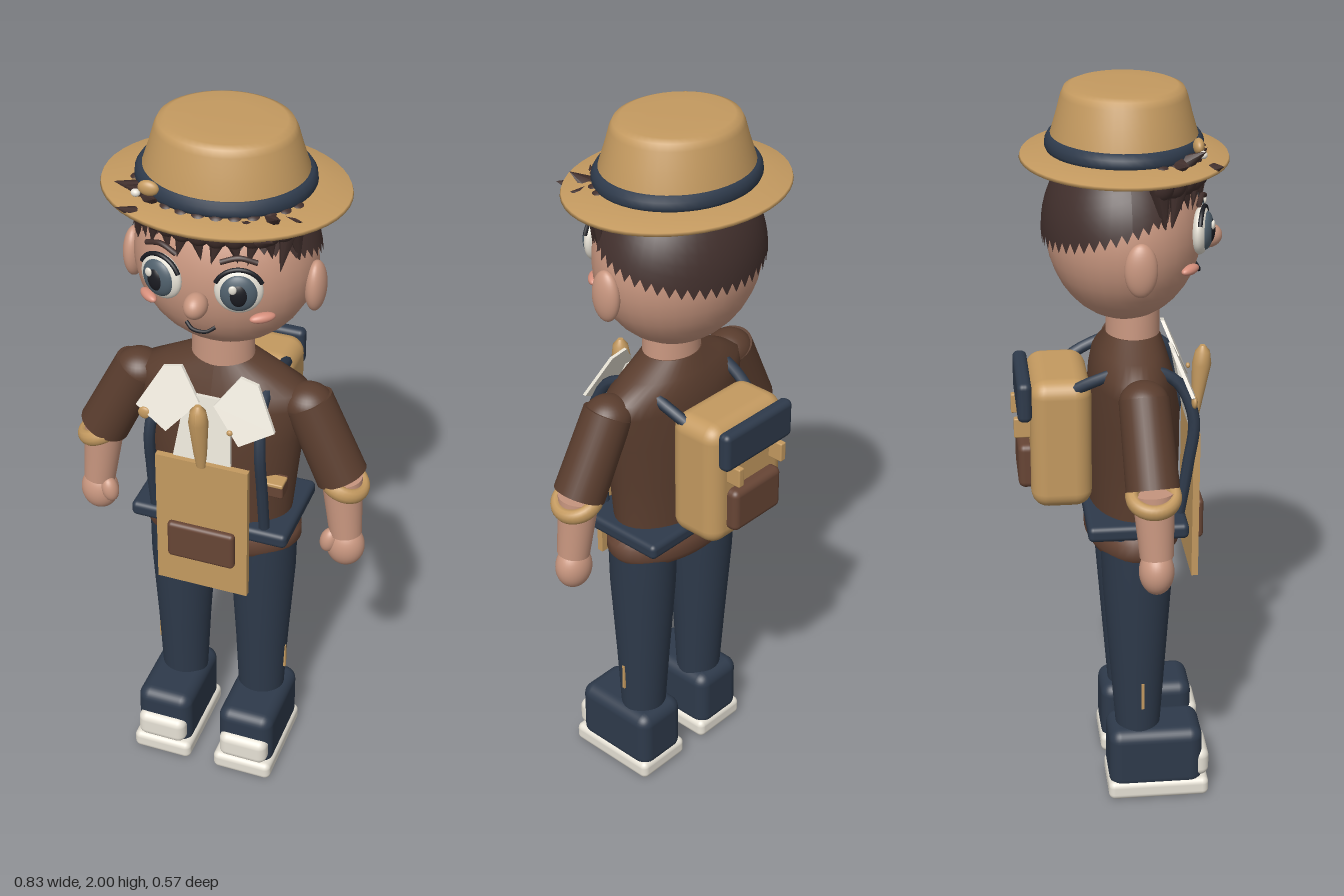
import * as THREE from 'three';
import { RoundedBoxGeometry } from 'three/addons/geometries/RoundedBoxGeometry.js';

const flat = (name, color, side = THREE.FrontSide) => {
  const m = new THREE.MeshStandardMaterial({ color, side });
  m.name = name;
  return m;
};

export function createModel() {
  const root = new THREE.Group();
  root.name = 'traveller';
  const skin = flat('skin', 0xc99780), blush = flat('blush', 0xd68f7c), tan = flat('tan', 0xc49a60);
  const shirt = flat('shirtBrown', 0x5a3d2e), leather = flat('leather', 0x674535);
  const navy = flat('navy', 0x2e3a4b), cream = flat('cream', 0xe6e1d5, THREE.DoubleSide);
  const hair = flat('hairBrown', 0x42302d, THREE.DoubleSide);
  const iris = flat('slateIris', 0x50606c), dark = flat('darkPupil', 0x1b1c22);

  const add = (name, geo, mat, pos = [0, 0, 0], rot = [0, 0, 0], scale = [1, 1, 1], parent = root) => {
    const m = new THREE.Mesh(geo, mat);
    m.name = name;
    m.position.set(...pos);
    m.rotation.set(...rot);
    m.scale.set(...scale);
    parent.add(m);
    return m;
  };
  const ball = (name, mat, pos, radii, rot, parent) =>
    add(name, new THREE.SphereGeometry(1, 32, 20), mat, pos, rot, radii, parent);
  // box given by its extents
  const box = (name, mat, [x0, x1], [y0, y1], [z0, z1], r) => {
    const s = [x1 - x0, y1 - y0, z1 - z0];
    const geo = r ? new RoundedBoxGeometry(...s, 4, r) : new THREE.BoxGeometry(...s);
    return add(name, geo, mat, [(x0 + x1) / 2, (y0 + y1) / 2, (z0 + z1) / 2]);
  };
  // stack of ellipses, each [y, radiusX, radiusZ, centreZ], listed upward
  const loft = (name, mat, rings, x = 0) => {
    const n = rings.length - 1;
    const geo = new THREE.CylinderGeometry(1, 1, n, 40, n);
    const p = geo.attributes.position;
    for (let i = 0; i < p.count; i++) {
      const [y, rx, rz, cz] = rings[Math.round(p.getY(i) + n / 2)];
      p.setXYZ(i, p.getX(i) * rx + x, y, p.getZ(i) * rz + cz);
    }
    geo.computeVertexNormals();
    return add(name, geo, mat);
  };
  // tapered round limb between two points
  const limb = (name, mat, a, b, ra, rb) => {
    const A = new THREE.Vector3(...a), B = new THREE.Vector3(...b), d = B.clone().sub(A);
    const m = add(name, new THREE.CylinderGeometry(rb, ra, d.length(), 28), mat);
    m.position.copy(A).lerp(B, 0.5);
    m.quaternion.setFromUnitVectors(new THREE.Vector3(0, 1, 0), d.normalize());
    return m;
  };
  const tube = (name, mat, pts, r, parent) => add(name, new THREE.TubeGeometry(
    new THREE.CatmullRomCurve3(pts.map(p => new THREE.Vector3(...p))), 32, r, 8), mat, undefined, undefined, undefined, parent);
  const lathe = (name, mat, pts, sz) => add(name,
    new THREE.LatheGeometry(pts.map(p => new THREE.Vector2(...p)), 48), mat, [0, 0, 0.017], undefined, [1, 1, sz]);
  // flat cloth piece that leans forward as it goes down
  const cloth = (name, mat, pts, z, slope) => {
    const geo = new THREE.ExtrudeGeometry(new THREE.Shape(pts.map(p => new THREE.Vector2(...p))), { depth: 0.01, bevelEnabled: false });
    const p = geo.attributes.position;
    for (let i = 0; i < p.count; i++) p.setZ(i, p.getZ(i) + z + (1.335 - p.getY(i)) * slope);
    geo.computeVertexNormals();
    return add(name, geo, mat);
  };

  // head and neck
  ball('head', skin, [0, 1.63, 0.016], [0.237, 0.24, 0.202]);
  loft('neck', skin, [[1.3, 0.085, 0.072, 0.04], [1.44, 0.08, 0.07, 0.04]]);
  ball('nose', skin, [0, 1.598, 0.235], [0.03, 0.033, 0.038]);
  tube('mouth', dark, [[-0.038, 1.522, 0.2], [-0.018, 1.511, 0.211], [0.018, 1.511, 0.211], [0.038, 1.522, 0.2]], 0.005);

  // hair shell with a sloping lower edge
  const shell = new THREE.SphereGeometry(1, 48, 14);
  const sp = shell.attributes.position, uv = shell.attributes.uv;
  for (let i = 0; i < sp.count; i++) {
    const a = uv.getX(i) * Math.PI * 2, c = Math.sin(a);
    const edge = 0.035 + 0.07 * c + 0.02 * Math.max(0, c) ** 2;
    const t = (1 - uv.getY(i)) * Math.acos(edge / 0.248);
    sp.setXYZ(i, -Math.cos(a) * Math.sin(t) * 0.246, Math.cos(t) * 0.248, c * Math.sin(t) * 0.211);
  }
  shell.computeVertexNormals();
  add('hairCap', shell, hair, [0, 1.63, 0.014]);

  // fringe locks around the forehead
  for (let i = -6; i <= 6; i++) {
    const a = i * 0.2, side = Math.abs(i) > 4;
    const len = side ? 0.13 : 0.1 + 0.015 * (Math.abs(i) % 2);
    add('fringeLock', new THREE.ConeGeometry(0.033, len, 7), hair,
      [Math.sin(a) * 0.225, side ? 1.735 : 1.765, 0.02 + Math.cos(a) * 0.195],
      [Math.PI, -a, i % 2 ? 0.22 : -0.15], [1, 1, 0.6]);
    ball('fringeRoot', hair, [Math.sin(a) * 0.222, 1.8, 0.02 + Math.cos(a) * 0.19], [0.035, 0.045, 0.028], [0, a, 0]);
  }

  // hat
  lathe('hatBrim', tan, [[0, 1.822], [0.21, 1.822], [0.3, 1.812], [0.315, 1.816], [0.312, 1.824], [0.22, 1.842], [0, 1.845]], 0.845);
  lathe('hatCrown', tan, [[0.215, 1.83], [0.21, 1.87], [0.19, 1.93], [0.177, 1.975], [0.168, 1.992], [0.15, 1.999], [0.08, 2], [0, 2]], 0.9);
  lathe('hatBand', navy, [[0.2, 1.837], [0.222, 1.837], [0.227, 1.848], [0.225, 1.864], [0.216, 1.877], [0.2, 1.877]], 0.89);

  for (const s of [-1, 1]) {
    // face
    ball('ear', skin, [s * 0.242, 1.59, 0.035], [0.027, 0.07, 0.042]);
    ball('cheek', blush, [s * 0.15, 1.557, 0.17], [0.034, 0.013, 0.015], [0, s * 0.7, 0]);
    const eye = new THREE.Group();
    eye.name = 'eye';
    eye.position.set(s * 0.1, 1.645, 0.203);
    eye.rotation.y = s * 0.3;
    root.add(eye);
    ball('eyeWhite', cream, [0, 0, 0], [0.06, 0.062, 0.024], undefined, eye);
    ball('iris', iris, [0, 0, 0.01], [0.047, 0.051, 0.022], undefined, eye);
    ball('pupil', dark, [0, 0, 0.02], [0.026, 0.034, 0.016], undefined, eye);
    ball('eyeGlint', cream, [-0.014, 0.02, 0.033], [0.01, 0.012, 0.005], undefined, eye);
    add('upperLash', new THREE.TorusGeometry(0.061, 0.006, 8, 24, 2.3), dark, [0, 0, 0.006], [0, 0, 0.42], undefined, eye);
    tube('eyebrow', hair, [[-0.045, 0.078, 0], [0, 0.09, 0], [0.045, 0.078, 0]], 0.007, eye);

    // loose locks over the hat brim
    [[0.17, 1.835, 0.165, 0.06, 0.5], [0.21, 1.83, 0.14, 0.04, 1.1], [0.125, 1.83, 0.19, 0.04, -0.5], [0.18, 1.815, 0.23, 0.03, 0.9]]
      .forEach(([x, y, z, r, t]) => add('brimLock', new THREE.ConeGeometry(r * 0.75, r * 1.7, 6), hair,
        [s * x, y + (s < 0 ? 0.012 : -0.005), z], [0.9, 0, -s * t], [1, 1, 0.7]));

    // arm
    limb('sleeve', shirt, [s * 0.235, 1.245, 0.045], [s * 0.337, 1.035, 0.057], 0.066, 0.07);
    ball('shoulder', shirt, [s * 0.235, 1.235, 0.045], [0.068, 0.055, 0.064]);
    add('cuff', new THREE.TorusGeometry(0.055, 0.018, 12, 32), tan, [s * 0.344, 1.02, 0.058], [Math.PI / 2, -s * 0.42, 0], [1, 1, 1.3]);
    limb('forearm', skin, [s * 0.338, 1.03, 0.058], [s * 0.357, 0.855, 0.066], 0.055, 0.044);
    ball('hand', skin, [s * 0.358, 0.812, 0.066], [0.053, 0.063, 0.046]);
    ball('thumb', skin, [s * 0.318, 0.832, 0.088], [0.024, 0.038, 0.024], [0, 0, -s * 0.2]);

    // leg and shoe
    loft('trouserLeg', navy, [[0.15, 0.064, 0.058, 0.046], [0.4, 0.075, 0.076, 0.044], [0.65, 0.09, 0.094, 0.042], [0.82, 0.092, 0.1, 0.04]], s * 0.118);
    box('legTag', tan, [s * 0.19 - 0.004, s * 0.19 + 0.004], [0.29, 0.37], [0.048, 0.056]);
    const at = (a, b) => (s > 0 ? [a, b] : [-b, -a]);
    box('shoe', navy, at(0.043, 0.205), [0.03, 0.215], [-0.04, 0.222], 0.035);
    box('toeCap', cream, at(0.053, 0.197), [0.055, 0.14], [0.15, 0.242], 0.025);
    box('sole', cream, at(0.036, 0.21), [0, 0.056], [-0.043, 0.24], 0.018);

    // collar flap and pack strap
    const flap = [[0.08, 1.335], [0.13, 1.325], [0.19, 1.22], [0.1, 1.17], [0.02, 1.255]];
    cloth('collarFlap', cream, flap.map(([x, y]) => [s * x, y]), 0.125, 0.42);
    tube('packStrap', navy, [[0.155, 0.88, 0.15], [0.155, 1.02, 0.172], [0.152, 1.15, 0.185], [0.14, 1.25, 0.14], [0.135, 1.285, 0.04],
      [0.13, 1.255, -0.07], [0.11, 1.205, -0.16]].map(([x, y, z]) => [s * x, y, z]), 0.016);
    box('packBuckle', tan, [s * 0.083 - 0.01, s * 0.083 + 0.01], [1.085, 1.14], [-0.282, -0.235], 0.004);
  }

  // shirt, hem and belt
  loft('shirt', shirt, [[0.76, 0.2, 0.12, 0.04], [0.87, 0.195, 0.12, 0.04], [1.0, 0.208, 0.125, 0.04], [1.13, 0.222, 0.125, 0.04],
    [1.23, 0.24, 0.112, 0.035], [1.27, 0.232, 0.102, 0.033], [1.305, 0.16, 0.09, 0.034], [1.345, 0.085, 0.072, 0.038]]);
  loft('shirtHem', leather, [[0.752, 0.205, 0.12, 0.04], [0.775, 0.222, 0.132, 0.04], [0.81, 0.222, 0.132, 0.04], [0.835, 0.2, 0.12, 0.04]]);
  box('belt', navy, [-0.222, 0.222], [0.828, 0.872], [-0.098, 0.17], 0.015);
  cloth('shirtFront', cream, [[-0.085, 1.09], [0.075, 1.09], [0.06, 1.27], [-0.06, 1.27]], 0.135, 0.2);
  box('chestPocket', leather, [0.148, 0.205], [0.985, 1.03], [0.1, 0.152], 0.006);
  box('pocketTrim', tan, [0.148, 0.205], [1.02, 1.032], [0.11, 0.155], 0.004);

  // neckerchief tail, pin and buttons
  loft('tie', tan, [[1.085, 0.012, 0.008, 0.212], [1.13, 0.018, 0.014, 0.215], [1.24, 0.026, 0.026, 0.226], [1.275, 0.021, 0.02, 0.228], [1.292, 0.008, 0.007, 0.228]]);
  ball('collarPin', tan, [-0.165, 1.2, 0.185], [0.018, 0.018, 0.008]);
  ball('button', tan, [0.075, 1.205, 0.2], [0.008, 0.008, 0.006]);

  // hanging front satchel
  box('satchelPanel', tan, [-0.13, 0.127], [0.67, 1.09], [0.19, 0.208]);
  box('satchelPatch', leather, [-0.096, 0.094], [0.765, 0.88], [0.2, 0.226], 0.012);

  // hat ornament
  ball('hatPin', tan, [-0.135, 1.872, 0.188], [0.027, 0.02, 0.014]);
  ball('hatPinBead', cream, [-0.165, 1.858, 0.196], [0.012, 0.01, 0.01]);

  // backpack
  box('backpack', tan, [-0.142, 0.142], [0.89, 1.252], [-0.24, -0.078], 0.045);
  box('packFlap', navy, [-0.13, 0.13], [1.14, 1.25], [-0.273, -0.235], 0.016);
  box('packPocket', leather, [-0.092, 0.092], [0.935, 1.06], [-0.272, -0.225], 0.018);
  return root;
}
